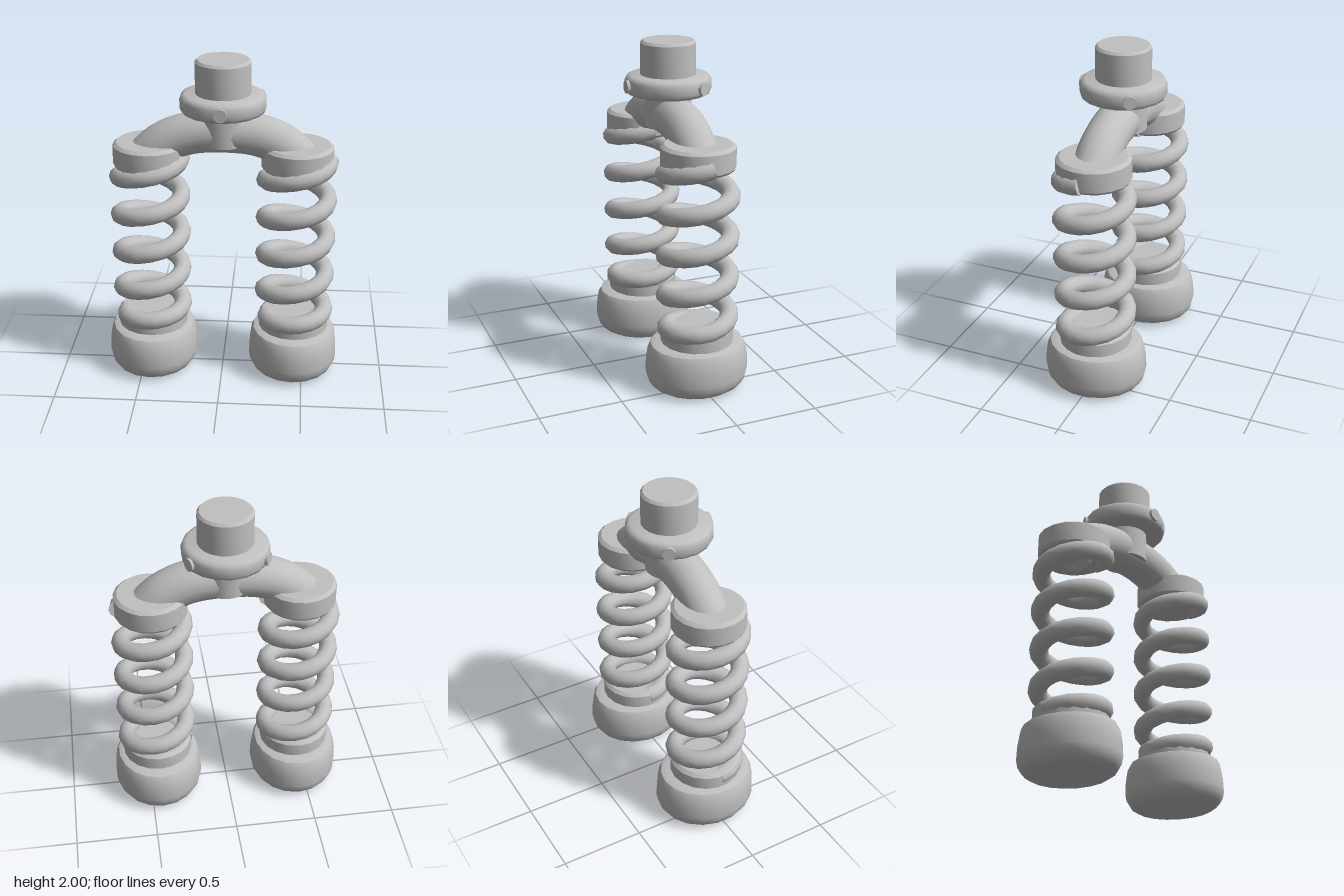
import * as THREE from 'three';
import { toCreasedNormals } from 'three/addons/utils/BufferGeometryUtils.js';

const LEG_X = 0.442;

// Helix wound down from +x through +z; the last half turn flattens onto the seat
class SpringCurve extends THREE.Curve {
  getPoint(t, target = new THREE.Vector3()) {
    const turns = 4.5 * t;
    const a = turns * Math.PI * 2;
    const last = Math.max(0, turns - 4) / 0.5;
    const y = 1.39 - 0.246 * Math.min(turns, 4) - 0.065 * last;
    const r = 0.19 - 0.02 * last * last;
    return target.set(Math.cos(a) * r, y, Math.sin(a) * r);
  }
}

export function createModel() {
  const metal = new THREE.MeshStandardMaterial({ color: 0xc0c0c0 });
  metal.name = 'light grey';
  const model = new THREE.Group();
  model.name = 'springFork';

  const add = (name, geometry, parent = model) => {
    const mesh = new THREE.Mesh(geometry, metal);
    mesh.name = name;
    parent.add(mesh);
    return mesh;
  };

  // Closed turned part from [radius, height] pairs, bottom to top
  const turned = (profile, sides = 18, crease = 0.62) => {
    const pts = profile.map(([r, y]) => new THREE.Vector2(r, y));
    pts.unshift(new THREE.Vector2(0, pts[0].y));
    pts.push(new THREE.Vector2(0, pts[pts.length - 1].y));
    return toCreasedNormals(new THREE.LatheGeometry(pts, sides), crease);
  };

  // Tube with flat discs closing both ends
  const cappedTube = (name, curve, steps, radius, sides, parent) => {
    const group = new THREE.Group();
    group.name = name;
    parent.add(group);
    add(name + 'Body', new THREE.TubeGeometry(curve, steps, radius, sides), group);
    for (const t of [0, 1]) {
      const cap = add(name + 'End', new THREE.CircleGeometry(radius, sides), group);
      const p = curve.getPointAt(t);
      const dir = curve.getTangentAt(t).multiplyScalar(t ? 1 : -1);
      cap.position.copy(p);
      cap.quaternion.setFromUnitVectors(new THREE.Vector3(0, 0, 1), dir);
    }
  };

  // Two identical legs: foot, lower seat, spring, upper seat
  for (const [side, x] of [['left', LEG_X], ['right', -LEG_X]]) {
    const leg = new THREE.Group();
    leg.name = side + 'Leg';
    leg.position.x = x;
    model.add(leg);
    const foot = add('foot', turned([
      [0.215, 0], [0.25, 0.025], [0.27, 0.06], [0.277, 0.1],
      [0.274, 0.18], [0.264, 0.25], [0.25, 0.278], [0.22, 0.29],
    ], 18, 0.7), leg);
    foot.scale.z = 1.12;
    add('lowerSeat', turned([[0.216, 0.27], [0.216, 0.37], [0.195, 0.39]]), leg);
    cappedTube('spring', new SpringCurve(), 84, 0.055, 10, leg);
    add('upperSeat', turned([[0.205, 1.345], [0.216, 1.36], [0.216, 1.475], [0.195, 1.492]]), leg);
  }

  // Arched yoke joining the legs
  const half = [[0.46, 1.39], [0.35, 1.485], [0.2, 1.545]];
  const arch = new THREE.CatmullRomCurve3([
    ...half.map(([x, y]) => new THREE.Vector3(-x, y, 0)),
    new THREE.Vector3(0, 1.562, 0),
    ...half.reverse().map(([x, y]) => new THREE.Vector3(x, y, 0)),
  ]);
  cappedTube('yoke', arch, 24, 0.127, 18, model);

  // Neck, flange ring and top stud
  add('neck', turned([[0.139, 1.495], [0.139, 1.7]], 24));
  add('flange', turned([
    [0.225, 1.685], [0.245, 1.695], [0.255, 1.715],
    [0.255, 1.77], [0.245, 1.79], [0.225, 1.8],
  ], 18, 0.7));
  add('stud', turned([[0.164, 1.78], [0.164, 1.985], [0.15, 2]], 20));

  // Three set screws spaced around the flange
  for (let i = 0; i < 3; i++) {
    const turn = new THREE.Group();
    turn.name = 'setScrewMount';
    turn.rotation.y = i * Math.PI * 2 / 3;
    model.add(turn);
    const screw = add('setScrew', new THREE.CylinderGeometry(0.039, 0.039, 0.06, 14), turn);
    screw.rotation.x = Math.PI / 2;
    screw.position.set(0, 1.742, 0.236);
  }

  return model;
}
